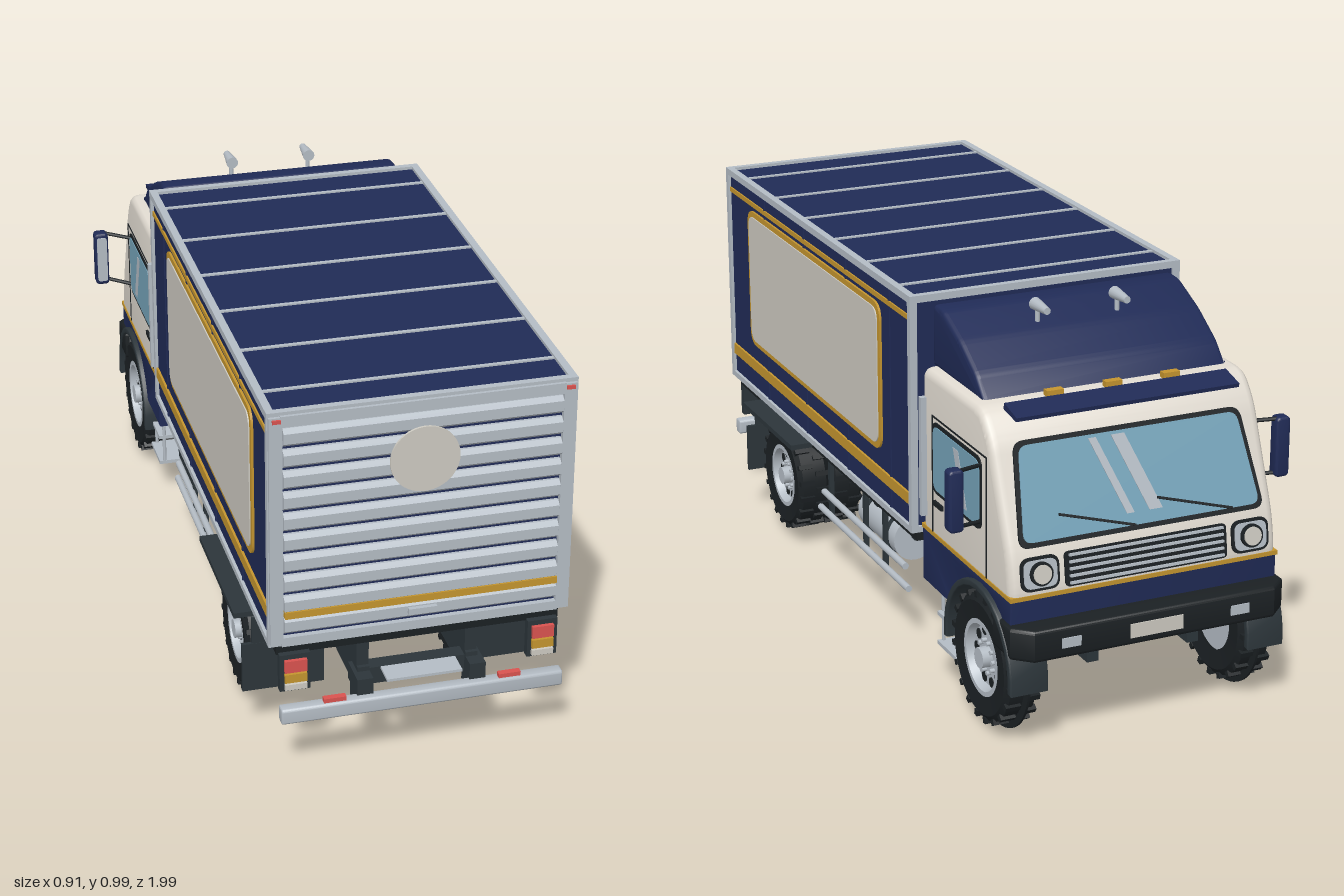
import * as THREE from 'three';
import { toCreasedNormals } from 'three/addons/utils/BufferGeometryUtils.js';

const mat = (name, color, side = THREE.FrontSide) => {
  const m = new THREE.MeshStandardMaterial({ color, side });
  m.name = name;
  return m;
};

export function createModel() {
  const navy = mat('navy', 0x202b56), silver = mat('silver', 0xb4bcc4), cream = mat('cream', 0xe2dcd2),
    panel = mat('panelCream', 0xcdcac1), gold = mat('gold', 0xc4952f), dark = mat('charcoal', 0x2c353a),
    black = mat('black', 0x1b2023), glass = mat('glass', 0x74a2b8), red = mat('red', 0xd9534f);
  const truck = new THREE.Group();
  truck.name = 'boxTruck';

  const add = (name, geo, m, parent = truck) => {
    const mesh = new THREE.Mesh(geo, m);
    mesh.name = name;
    parent.add(mesh);
    return mesh;
  };
  // box from its extents
  const box = (name, m, x0, x1, y0, y1, z0, z1, parent = truck) => {
    const b = add(name, new THREE.BoxGeometry(x1 - x0, y1 - y0, z1 - z0), m, parent);
    b.position.set((x0 + x1) / 2, (y0 + y1) / 2, (z0 + z1) / 2);
    return b;
  };
  const pair = (name, m, x0, x1, ...r) => {
    box(name, m, x0, x1, ...r);
    box(name, m, -x1, -x0, ...r);
  };
  // polygon with rounded corners
  const poly = (pts, r = 0) => {
    const s = new THREE.Shape(), v = pts.map(p => new THREE.Vector2(...p)), n = v.length;
    v.forEach((p, i) => {
      const toward = q => p.clone().add(q.clone().sub(p).setLength(Math.min(r, p.distanceTo(q) * 0.45)));
      const a = r ? toward(v[(i + n - 1) % n]) : p, b = r ? toward(v[(i + 1) % n]) : p;
      if (i) s.lineTo(a.x, a.y); else s.moveTo(a.x, a.y);
      if (r) s.quadraticCurveTo(p.x, p.y, b.x, b.y);
    });
    s.closePath();
    return s;
  };
  const rect = (u0, u1, v0, v1) => [[u0, v0], [u1, v0], [u1, v1], [u0, v1]];
  const extrude = (shape, width, bevel = 0) => toCreasedNormals(new THREE.ExtrudeGeometry(shape, {
    depth: width - 2 * bevel, bevelEnabled: bevel > 0, bevelSize: bevel, bevelThickness: bevel,
    bevelOffset: -bevel, bevelSegments: 3, curveSegments: 8,
  }).translate(0, 0, -(width - 2 * bevel) / 2), 0.6);
  // side profile in (forward, up), swept symmetrically across the width
  const across = (name, m, shape, width, bevel, x = 0) => {
    const g = add(name, extrude(shape, width, bevel).rotateY(Math.PI / 2), m);
    g.position.x = x;
    return g;
  };
  // round bar between two points
  const bar = (name, m, a, b, r, sides = 12) => {
    const p = new THREE.Vector3(...a), q = new THREE.Vector3(...b), d = q.clone().sub(p);
    const c = add(name, new THREE.CylinderGeometry(r, r, d.length(), sides), m);
    c.position.copy(p).add(q).multiplyScalar(0.5);
    c.quaternion.setFromUnitVectors(new THREE.Vector3(0, 1, 0), d.normalize());
    return c;
  };

  // cargo body with frame
  box('cargoBody', navy, -0.363, 0.363, 0.362, 0.972, -0.38, 0.936);
  box('cargoSill', black, -0.35, 0.35, 0.33, 0.362, -0.37, 0.93);
  for (const [y0, y1] of [[0.36, 0.376], [0.962, 0.98]]) {
    pair('sideRail', silver, 0.352, 0.371, y0, y1, -0.388, 0.942);
    for (const z of [-0.388, 0.924]) box('endRail', silver, -0.37, 0.37, y0, y1, z, z + 0.018);
  }
  for (const z of [-0.388, 0.924]) pair('cornerPost', silver, 0.352, 0.371, 0.36, 0.98, z, z + 0.018);
  for (const z of [-0.27, -0.055, 0.165, 0.38, 0.6, 0.82])
    box('roofRib', silver, -0.355, 0.355, 0.97, 0.976, z - 0.005, z + 0.005);
  for (const z of [-0.24, 0.05, 0.35, 0.65]) box('wallRib', navy, -0.366, 0.366, 0.376, 0.962, z - 0.004, z + 0.004);
  box('upperStripe', gold, -0.367, 0.367, 0.914, 0.927, -0.37, 0.924);
  box('lowerStripe', gold, -0.369, 0.369, 0.43, 0.46, -0.37, 0.924);
  across('panelBorder', gold, poly(rect(-0.777, 0.187, 0.508, 0.902), 0.045), 0.738);
  across('sidePanel', panel, poly(rect(-0.762, 0.172, 0.523, 0.887), 0.035), 0.744);

  // roller door at the rear
  pair('doorFrame', silver, 0.336, 0.368, 0.37, 0.97, 0.93, 0.95);
  box('doorHeader', silver, -0.34, 0.34, 0.944, 0.972, 0.93, 0.95);
  box('doorThreshold', silver, -0.34, 0.34, 0.362, 0.386, 0.93, 0.95);
  for (let i = 0; i < 10; i++) {
    const y = 0.395 + i * 0.0553;
    across('doorSlat', silver, poly([[-0.93, y], [-0.943, y], [-0.955, y + 0.01], [-0.955, y + 0.036], [-0.943, y + 0.046], [-0.93, y + 0.046]]), 0.668);
  }
  box('doorStripe', gold, -0.334, 0.334, 0.441, 0.459, 0.94, 0.958);
  const disc = add('doorDisc', new THREE.CylinderGeometry(0.084, 0.084, 0.006, 48).rotateX(Math.PI / 2), panel);
  disc.position.set(0, 0.825, 0.958);
  box('doorHandle', silver, -0.035, 0.035, 0.412, 0.428, 0.95, 0.966);
  pair('markerLamp', red, 0.34, 0.36, 0.957, 0.966, 0.945, 0.955);

  // cab shell
  across('cabShell', cream, poly([[0.42, 0.38], [0.938, 0.38], [0.94, 0.42], [0.925, 0.495], [0.82, 0.752], [0.765, 0.815], [0.42, 0.815]], 0.035), 0.71, 0.022);
  const lower = new THREE.Shape();
  lower.moveTo(0.42, 0.25);
  lower.lineTo(0.599, 0.25);
  lower.absarc(0.77, 0.18, 0.185, Math.PI - 0.388, 0.47, true);
  lower.lineTo(0.938, 0.39);
  lower.lineTo(0.42, 0.39);
  across('cabLower', navy, lower, 0.71, 0.004);
  box('cabFloor', navy, -0.25, 0.25, 0.25, 0.385, -0.925, -0.425);
  box('cabStripe', gold, -0.357, 0.357, 0.39, 0.401, -0.941, -0.42);

  // doors and side windows
  for (const f of [0.484, 0.802]) across('doorSeam', black, poly(rect(f, f + 0.004, 0.4, 0.705)), 0.714);
  across('doorSeam', black, poly(rect(0.484, 0.806, 0.703, 0.707)), 0.714);
  across('windowFrame', black, poly(rect(0.488, 0.778, 0.51, 0.695), 0.03), 0.716);
  across('sideWindow', glass, poly(rect(0.498, 0.768, 0.52, 0.685), 0.025), 0.72);
  across('windowGlint', silver, poly([[0.62, 0.67], [0.65, 0.67], [0.7, 0.535], [0.67, 0.535]]), 0.722);
  pair('doorHandle', black, 0.353, 0.362, 0.478, 0.49, -0.55, -0.5);
  pair('grabRail', silver, 0.355, 0.37, 0.43, 0.74, -0.45, -0.435);

  // windscreen on the sloping face
  const slope = (name, f, y, tilt) => {
    const g = new THREE.Group();
    g.name = name;
    g.rotation.set(-tilt, Math.PI, 0, 'YXZ');
    g.position.set(0, y, -f);
    truck.add(g);
    return g;
  };
  const plate = (name, m, pts, r, z, parent) => {
    add(name, extrude(poly(pts, r), 0.006), m, parent).position.z = z;
  };
  const screen = slope('windscreenGroup', 0.8725, 0.6235, 0.388);
  plate('screenSeal', black, [[-0.326, -0.122], [0.326, -0.122], [0.3, 0.13], [-0.3, 0.13]], 0.03, 0.002, screen);
  plate('windscreen', glass, [[-0.314, -0.11], [0.314, -0.11], [0.289, 0.118], [-0.289, 0.118]], 0.025, 0.005, screen);
  for (const [x, w] of [[-0.05, 0.035], [-0.11, 0.02]])
    plate('glint', silver, [[x, 0.11], [x + w, 0.11], [x + w + 0.07, -0.08], [x + 0.07, -0.08]], 0, 0.007, screen);
  for (const x of [-0.12, 0.14]) {
    const w = box('wiper', black, x - 0.1, x + 0.1, -0.085, -0.079, 0.01, 0.016, screen);
    w.rotation.z = -0.28;
  }

  // grille and headlamps
  const nose = slope('noseGroup', 0.934, 0.453, 0.15);
  plate('grille', black, rect(-0.215, 0.215, -0.045, 0.04), 0.012, 0.003, nose);
  for (let i = 0; i < 5; i++) box('grilleBar', silver, -0.205, 0.205, -0.039 + i * 0.017, -0.033 + i * 0.017, 0.004, 0.013, nose);
  for (const s of [-1, 1]) {
    plate('lampBezel', black, rect(s * 0.28 - 0.05, s * 0.28 + 0.05, -0.042, 0.04), 0.025, 0.003, nose);
    plate('lampPlate', silver, rect(s * 0.28 - 0.043, s * 0.28 + 0.043, -0.035, 0.033), 0.02, 0.006, nose);
    for (const [m, r, z] of [[black, 0.029, 0.012], [panel, 0.023, 0.016]])
      add('headlamp', new THREE.CylinderGeometry(r, r, 0.012, 24).rotateX(Math.PI / 2), m, nose).position.set(s * 0.28, 0, z);
  }

  // front bumper
  const plan = poly([[-0.365, 0.86], [-0.365, 0.955], [-0.32, 0.997], [0.32, 0.997], [0.365, 0.955], [0.365, 0.86], [0.345, 0.86], [0.345, 0.925], [-0.345, 0.925], [-0.345, 0.86]]);
  add('frontBumper', extrude(plan, 0.08, 0.008).rotateX(-Math.PI / 2), black).position.y = 0.293;
  box('blankPlate', panel, -0.07, 0.07, 0.272, 0.308, -1, -0.994);
  pair('fogLamp', silver, 0.2, 0.25, 0.28, 0.305, -1, -0.994);

  // roof fairing, lamps, visor and horns
  across('roofFairing', navy, poly([[0.42, 0.808], [0.42, 0.967], [0.475, 0.965], [0.58, 0.92], [0.67, 0.865], [0.725, 0.808]], 0.015), 0.65, 0.012);
  for (const x of [-0.155, 0, 0.155]) box('roofLamp', gold, x - 0.022, x + 0.022, 0.81, 0.829, -0.757, -0.737);
  across('sunVisor', navy, poly([[0.765, 0.805], [0.77, 0.822], [0.838, 0.806], [0.836, 0.796]]), 0.59);
  for (const x of [-0.11, 0.105]) {
    const h = add('airHorn', new THREE.CylinderGeometry(0.009, 0.016, 0.07, 16).rotateX(-Math.PI / 2), silver);
    h.position.set(x, 0.972, -0.57);
    bar('hornStand', silver, [x, 0.9, -0.55], [x, 0.965, -0.55], 0.006);
  }
  for (const x of [-0.14, 0, 0.14]) box('cabCoupling', black, x - 0.02, x + 0.02, 0.4, 0.46, -0.425, -0.38);

  // mirrors
  for (const s of [-1, 1]) {
    add('mirrorShell', extrude(poly(rect(-0.019, 0.019, -0.078, 0.078), 0.012), 0.034, 0.006), navy).position.set(s * 0.437, 0.612, -0.8);
    add('mirrorGlass', extrude(poly(rect(-0.014, 0.014, -0.066, 0.066), 0.008), 0.006), silver).position.set(s * 0.437, 0.612, -0.782);
    for (const [y0, y1] of [[0.675, 0.685], [0.532, 0.545]])
      bar('mirrorArm', black, [s * 0.35, y0, -0.765], [s * 0.43, y1, -0.805], 0.005, 8);
  }

  // wheels, axle along x
  const lathe = pts => toCreasedNormals(new THREE.LatheGeometry(pts.map(p => new THREE.Vector2(...p)), 36).rotateZ(-Math.PI / 2), 0.5);
  const tyreGeo = lathe([[0.084, -0.04], [0.13, -0.045], [0.144, -0.034], [0.144, 0.034], [0.13, 0.045], [0.084, 0.04]]);
  const rimGeo = lathe([[0.001, -0.03], [0.088, -0.03], [0.088, 0.041], [0.077, 0.041], [0.07, 0.02], [0.001, 0.02]]);
  const wheel = (x, y, z, scale) => {
    const g = new THREE.Group();
    g.name = 'wheel';
    add('tyre', tyreGeo, black, g);
    add('rim', rimGeo, silver, g);
    const stud = (name, m, r, h, ring, a, px) => add(name, new THREE.CylinderGeometry(r, r, h, 14).rotateZ(Math.PI / 2), m, g)
      .position.set(px, Math.sin(a) * ring, Math.cos(a) * ring);
    for (let i = 0; i < 10; i++) {
      const a = i * Math.PI / 5;
      stud('rimHole', black, 0.012, 0.004, 0.059, a, 0.02);
      stud('wheelNut', silver, 0.005, 0.012, 0.037, a, 0.026);
    }
    stud('hubCap', silver, 0.024, 0.04, 0, 0, 0.026);
    for (let i = 0; i < 40; i++) {
      const a = i * Math.PI / 20, lug = add('treadLug', new THREE.BoxGeometry(0.04, 0.014, 0.013), black, g);
      lug.position.set(i % 2 ? 0.023 : -0.023, Math.cos(a) * 0.144, Math.sin(a) * 0.144);
      lug.rotation.x = a;
    }
    g.position.set(x, y, z);
    g.rotation.y = x < 0 ? Math.PI : 0;
    g.scale.set(1, scale, scale);
    truck.add(g);
  };
  const arch = new THREE.Shape();
  arch.absarc(0, 0, 0.196, -0.1, Math.PI + 0.1, false);
  arch.absarc(0, 0, 0.178, Math.PI + 0.1, -0.1, true);
  for (const s of [-1, 1]) {
    wheel(s * 0.315, 0.18, -0.77, 1.1);
    wheel(s * 0.323, 0.18, 0.555, 1);
    wheel(s * 0.226, 0.18, 0.555, 1);
    add('wheelLiner', new THREE.CylinderGeometry(0.18, 0.18, 0.006, 48).rotateZ(Math.PI / 2), black).position.set(s * 0.31, 0.18, -0.77);
    across('frontFender', dark, arch, 0.1, 0.004, s * 0.318).position.set(s * 0.318, 0.18, -0.77);
    // rear steps, flaps and lamp clusters
    const side = (name, m, a, b, ...r) => box(name, m, Math.min(s * a, s * b), Math.max(s * a, s * b), ...r);
    side('rearFender', dark, 0.18, 0.41, 0.329, 0.343, 0.36, 0.745);
    side('mudFlap', dark, 0.19, 0.395, 0.13, 0.263, 0.755, 0.765);
    side('flapHanger', dark, 0.2, 0.37, 0.26, 0.335, 0.756, 0.764);
    side('lampBracket', dark, 0.27, 0.345, 0.235, 0.335, 0.925, 0.945);
    for (const [m, y0, y1] of [[red, 0.29, 0.322], [gold, 0.262, 0.285], [panel, 0.242, 0.257]])
      side('tailLamp', m, 0.28, 0.334, y0, y1, 0.94, 0.955);
    side('reflector', red, 0.19, 0.245, 0.205, 0.218, 0.962, 0.978);
    side('bumperBracket', dark, 0.12, 0.16, 0.17, 0.25, 0.9, 0.965);
    // chassis rail and cab steps
    side('chassisRail', dark, 0.12, 0.15, 0.195, 0.262, -0.93, 0.93);
    for (const f of [0.49, 0.6]) bar('stepHanger', silver, [s * 0.33, 0.255, -f], [s * 0.33, 0.1, -f], 0.005, 8);
    for (const y of [0.1, 0.18]) side('cabStep', silver, 0.27, 0.345, y - 0.005, y + 0.005, -0.605, -0.485);
    // side guards
    for (const [y, z0, z1] of [[0.16, -0.28, 0.34], [0.215, -0.26, 0.31]]) bar('sideGuard', silver, [s * 0.335, y, z0], [s * 0.335, y, z1], 0.009);
    for (const z of [-0.1, 0.035, 0.285]) side('guardPost', dark, 0.318, 0.33, 0.15, 0.34, z - 0.007, z + 0.007);
  }
  across('rearBumper', silver, poly(rect(-0.985, -0.952, 0.165, 0.207), 0.008), 0.7, 0.004);
  box('rearStep', silver, -0.093, 0.093, 0.25, 0.257, 0.93, 0.99);

  // chassis
  for (const z of [-0.85, -0.62, -0.4, -0.15, 0.12, 0.36, 0.72, 0.9]) box('crossMember', dark, -0.16, 0.16, 0.205, 0.25, z - 0.02, z + 0.02);
  for (const z of [-0.3, -0.05, 0.2, 0.45, 0.65, 0.85]) box('floorBearer', dark, -0.33, 0.33, 0.305, 0.332, z - 0.012, z + 0.012);
  pair('subframe', dark, 0.12, 0.15, 0.26, 0.335, -0.37, 0.92);
  bar('rearAxle', dark, [-0.3, 0.175, 0.555], [0.3, 0.175, 0.555], 0.028);
  bar('frontAxle', dark, [-0.3, 0.175, -0.77], [0.3, 0.175, -0.77], 0.022);
  add('differential', new THREE.SphereGeometry(0.06, 24, 16), dark).position.set(0, 0.175, 0.555);
  bar('propShaft', dark, [0, 0.2, -0.55], [0, 0.18, 0.52], 0.016);
  box('engine', dark, -0.09, 0.09, 0.17, 0.26, -0.8, -0.5);

  // fuel tank on the left, battery box and exhaust on the right
  bar('fuelTank', silver, [0.24, 0.215, -0.1], [0.24, 0.215, 0.15], 0.06, 28);
  for (const z of [-0.05, 0.1]) bar('tankStrap', dark, [0.24, 0.215, z - 0.008], [0.24, 0.215, z + 0.008], 0.062, 28);
  box('batteryBox', dark, -0.315, -0.17, 0.185, 0.285, -0.36, -0.18);
  box('batteryLid', silver, -0.318, -0.168, 0.27, 0.28, -0.34, -0.2);
  bar('silencer', silver, [-0.22, 0.235, -0.16], [-0.22, 0.235, -0.03], 0.03, 20);
  bar('exhaustPipe', silver, [-0.22, 0.225, -0.04], [-0.22, 0.2, 0.33], 0.012);
  return truck;
}
